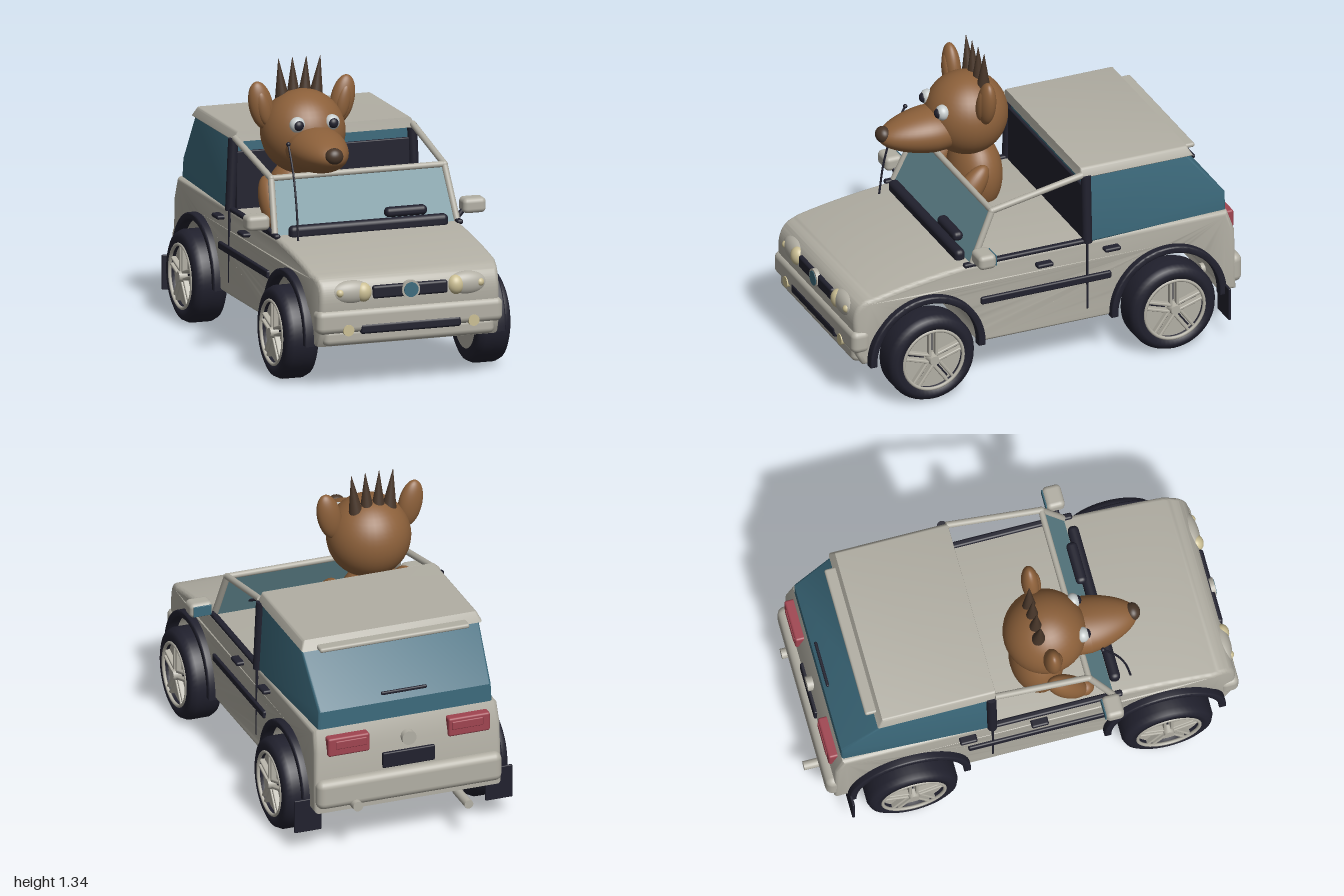
import * as THREE from 'three';
import { toCreasedNormals } from 'three/addons/utils/BufferGeometryUtils.js';
import { RoundedBoxGeometry } from 'three/addons/geometries/RoundedBoxGeometry.js';

export function createModel() {
  const model = new THREE.Group();
  const paint = (name, color, side = THREE.FrontSide) => {
    const m = new THREE.MeshStandardMaterial({ color, side });
    m.name = name;
    return m;
  };
  const grey = paint('bodyGrey', 0xb2afa4);
  const dark = paint('darkTrim', 0x21212e);
  const teal = paint('tealGlass', 0x3c6a7c);
  const screen = paint('windshieldGlass', 0x658c95, THREE.DoubleSide);
  const brown = paint('brownFur', 0x8c603a);
  const umber = paint('darkBrownHair', 0x483629);
  const red = paint('tailLightRed', 0xa04450);
  const cream = paint('lampCream', 0xcbbf94);
  const white = paint('eyeWhite', 0xc6cccc);

  const V = (x, y, z) => new THREE.Vector3(x, y, z);
  const add = (name, geo, mat, pos = [0, 0, 0], parent = model) => {
    const m = new THREE.Mesh(geo, mat);
    m.name = name;
    m.position.set(...pos);
    parent.add(m);
    return m;
  };
  const box = (name, mat, size, pos, r = 0.01, parent = model) =>
    add(name, new RoundedBoxGeometry(...size, 3, r), mat, pos, parent);
  const ball = (name, mat, pos, radii, parent = model) =>
    add(name, new THREE.SphereGeometry(1, 36, 24).scale(...radii), mat, pos, parent);
  const rod = (name, mat, a, b, r, r2 = r, parent = model) => {
    const d = b.clone().sub(a);
    const m = add(name, new THREE.CylinderGeometry(r2, r, d.length(), 20), mat,
      a.clone().add(b).multiplyScalar(0.5).toArray(), parent);
    m.quaternion.setFromUnitVectors(V(0, 1, 0), d.normalize());
    return m;
  };
  const disc = (name, mat, pos, r, depth) =>
    add(name, new THREE.CylinderGeometry(r, r, depth, 32).rotateX(Math.PI / 2), mat, pos);
  // Side profile (z, y) extruded across x, then reshaped by a rule giving the x scale
  const across = (shape, width, bevel, taper = () => 1) => {
    const geo = new THREE.ExtrudeGeometry(shape, {
      depth: width - 2 * bevel, bevelEnabled: bevel > 0, bevelSize: bevel, bevelThickness: bevel,
      bevelOffset: -bevel, bevelSegments: 4, curveSegments: 32,
    });
    geo.translate(0, 0, -(width / 2 - bevel)).rotateY(-Math.PI / 2);
    const p = geo.attributes.position;
    for (let i = 0; i < p.count; i++) p.setX(i, p.getX(i) * taper(p.getY(i), p.getZ(i)));
    return toCreasedNormals(geo, 0.6);
  };
  const clamp = THREE.MathUtils.clamp;
  const axles = [0.63, -0.556];

  // Body tub with full-width wheel arches
  const s = new THREE.Shape();
  s.moveTo(-0.9, 0.2);
  for (const z of [...axles].reverse()) {
    s.lineTo(z - 0.265, 0.2);
    s.absarc(z, 0.215, 0.265, Math.PI, 0, true);
    s.lineTo(z + 0.265, 0.2);
  }
  s.lineTo(0.93, 0.2);
  s.lineTo(0.96, 0.25);
  s.lineTo(0.972, 0.4);
  s.quadraticCurveTo(0.975, 0.505, 0.9, 0.525);
  s.quadraticCurveTo(0.7, 0.575, 0.42, 0.6);
  s.lineTo(-0.86, 0.6);
  s.lineTo(-0.895, 0.5);
  add('body', across(s, 0.9, 0.02, (y, z) =>
    1 - 0.08 * clamp(y - 0.4, 0, 1) - 0.05 * clamp((z - 0.86) / 0.11, 0, 1)), grey);

  // Rear cabin, roof and spoiler
  const cabin = new THREE.Shape([[-0.17, 0.59], [-0.17, 0.925], [-0.665, 0.925], [-0.86, 0.685], [-0.86, 0.59]]
    .map((p) => new THREE.Vector2(...p)));
  add('rearGlass', across(cabin, 0.89, 0.012, (y, z) =>
    1 - 0.12 * clamp(y - 0.6, 0, 1) - 0.06 * clamp((-z - 0.66) / 0.2, 0, 1)), teal);
  const roof = new THREE.Shape([[-0.14, 0.915], [-0.145, 0.962], [-0.67, 0.962], [-0.695, 0.915]]
    .map((p) => new THREE.Vector2(...p)));
  add('roof', across(roof, 0.87, 0.01, (y) => 1 - 1.0 * clamp(y - 0.92, 0, 1)), grey);
  box('spoiler', grey, [0.72, 0.022, 0.07], [0, 0.925, -0.7]);
  box('bulkhead', dark, [0.83, 0.27, 0.02], [0, 0.73, -0.168], 0.005);
  box('rearWiper', dark, [0.22, 0.016, 0.014], [0, 0.72, -0.842], 0.006);

  // Windshield and its frame
  const glass = new THREE.BufferGeometry();
  glass.setAttribute('position', new THREE.Float32BufferAttribute(
    [-0.43, 0.6, 0.4, 0.43, 0.6, 0.4, 0.405, 0.84, 0.29, -0.405, 0.84, 0.29], 3));
  glass.setIndex([0, 1, 2, 0, 2, 3]);
  glass.computeVertexNormals();
  add('windshield', glass, screen);
  rod('windshieldTopBar', grey, V(-0.415, 0.84, 0.29), V(0.415, 0.84, 0.29), 0.014);
  box('cowl', dark, [0.76, 0.062, 0.05], [0, 0.615, 0.425], 0.022);
  box('cowlPad', dark, [0.2, 0.045, 0.05], [0.19, 0.665, 0.395], 0.02);

  for (const k of [-1, 1]) {
    rod('windshieldPost', grey, V(k * 0.437, 0.595, 0.4), V(k * 0.415, 0.84, 0.29), 0.015);
    rod('roofRail', grey, V(k * 0.415, 0.84, 0.29), V(k * 0.425, 0.93, -0.15), 0.015);
    ball('frameCorner', grey, [k * 0.415, 0.84, 0.29], [0.016, 0.016, 0.016]);
    rod('doorPillar', dark, V(k * 0.443, 0.595, -0.167), V(k * 0.428, 0.925, -0.167), 0.023);
    box('doorSill', dark, [0.03, 0.022, 0.6], [k * 0.438, 0.602, 0.14], 0.01);
    box('doorGap', dark, [0.012, 0.34, 0.01], [k * 0.447, 0.43, -0.165], 0.004);
    box('rubStrip', dark, [0.03, 0.036, 0.64], [k * 0.447, 0.413, 0.04], 0.008);
    box('doorHandle', dark, [0.05, 0.02, 0.08], [k * 0.452, 0.535, 0.05], 0.009);
    box('rearHandle', dark, [0.05, 0.02, 0.08], [k * 0.452, 0.545, -0.282], 0.009);
    // Mirrors
    box('mirror', grey, [0.11, 0.07, 0.085], [k * 0.518, 0.665, 0.375], 0.022);
    rod('mirrorArm', dark, V(k * 0.435, 0.6, 0.375), V(k * 0.48, 0.65, 0.375), 0.012);
    box('mirrorGlass', teal, [0.085, 0.05, 0.006], [k * 0.518, 0.665, 0.332], 0.002);
    // Lamps
    ball('headlightPod', grey, [k * 0.275, 0.445, 0.945], [0.105, 0.056, 0.042]);
    ball('headlight', cream, [k * 0.222, 0.445, 0.958], [0.04, 0.045, 0.036]);
    ball('sideLamp', cream, [k * 0.335, 0.45, 0.965], [0.02, 0.02, 0.022]);
    disc('fogLamp', cream, [k * 0.3, 0.28, 0.98], 0.026, 0.02);
    box('tailLight', red, [0.2, 0.09, 0.05], [k * 0.29, 0.525, -0.888], 0.01);
    box('tailLightDivider', red, [0.15, 0.04, 0.012], [k * 0.28, 0.535, -0.912], 0.005);
    box('mudFlap', dark, [0.13, 0.16, 0.012], [k * 0.46, 0.17, -0.833], 0.004);

    for (const z of axles) {
      // Arch flare
      const f = new THREE.Shape();
      f.moveTo(z + 0.283, 0.2);
      f.lineTo(z + 0.283, 0.215);
      f.absarc(z, 0.215, 0.283, 0, Math.PI, false);
      f.lineTo(z - 0.283, 0.2);
      f.lineTo(z - 0.25, 0.2);
      f.absarc(z, 0.215, 0.25, Math.PI, 0, true);
      f.lineTo(z + 0.25, 0.2);
      add('wheelArch', across(f, 0.05, 0.008), dark, [k * 0.457, 0, 0]);

      // Wheel
      const w = new THREE.Group();
      w.name = 'wheel';
      w.position.set(k * 0.46, 0.213, z);
      w.rotation.y = k > 0 ? 0 : Math.PI;
      model.add(w);
      const tread = [[0.14, -0.076], [0.18, -0.08], [0.2, -0.07], [0.212, -0.045], [0.212, 0.045],
        [0.2, 0.07], [0.18, 0.08], [0.15, 0.078], [0.142, 0.05]].map((p) => new THREE.Vector2(...p));
      add('tyre', new THREE.LatheGeometry(tread, 48).rotateZ(-Math.PI / 2), dark, [0, 0, 0], w);
      add('rimDisc', new THREE.CylinderGeometry(0.145, 0.145, 0.13, 40).rotateZ(Math.PI / 2), grey, [-0.012, 0, 0], w);
      add('rimLip', new THREE.TorusGeometry(0.145, 0.008, 10, 48).rotateY(Math.PI / 2), grey, [0.076, 0, 0], w);
      for (let i = 0; i < 5; i++) {
        const spoke = new THREE.Group();
        spoke.name = 'spokePair';
        spoke.rotation.x = (i * Math.PI * 2) / 5;
        w.add(spoke);
        for (const o of [-0.016, 0.016]) box('spoke', grey, [0.03, 0.125, 0.014], [0.062, 0.08, o], 0.005, spoke);
        box('spokeGap', dark, [0.006, 0.09, 0.008], [0.054, 0.085, 0], 0.002, spoke);
      }
      add('hub', new THREE.CylinderGeometry(0.022, 0.03, 0.04, 20).rotateZ(-Math.PI / 2), grey, [0.07, 0, 0], w);
    }
  }

  // Nose
  box('frontBumper', grey, [0.89, 0.11, 0.09], [0, 0.318, 0.94], 0.03);
  box('frontApron', grey, [0.82, 0.08, 0.06], [0, 0.245, 0.94], 0.028);
  box('lowerGrille', dark, [0.48, 0.046, 0.03], [0, 0.28, 0.974], 0.012);
  box('grille', dark, [0.36, 0.06, 0.03], [0, 0.443, 0.964], 0.012);
  disc('badgeRing', grey, [0, 0.445, 0.975], 0.043, 0.02);
  disc('badgeFace', teal, [0, 0.445, 0.984], 0.034, 0.008);

  // Tail
  box('rearBumper', grey, [0.89, 0.14, 0.075], [0, 0.295, -0.898], 0.034);
  disc('rearBadge', grey, [0, 0.51, -0.898], 0.034, 0.03);
  box('rearPlate', dark, [0.25, 0.075, 0.02], [0, 0.415, -0.9], 0.006);
  rod('exhaust', grey, V(-0.255, 0.17, -0.84), V(-0.255, 0.17, -0.995), 0.021);
  rod('exhaust', grey, V(0.265, 0.235, -0.8), V(0.265, 0.235, -0.96), 0.024);

  // Antenna
  const whip = new THREE.CatmullRomCurve3([V(-0.362, 0.58, 0.5), V(-0.362, 0.75, 0.475), V(-0.362, 0.9, 0.43), V(-0.362, 1.01, 0.37)]);
  add('antenna', new THREE.TubeGeometry(whip, 20, 0.005, 8), dark);
  ball('antennaTip', dark, [-0.362, 1.01, 0.37], [0.01, 0.01, 0.01]);

  // Driver, built around its own centre line
  const driver = new THREE.Group();
  driver.name = 'driver';
  driver.position.x = -0.208;
  model.add(driver);
  ball('torso', brown, [0, 0.7, 0.1], [0.16, 0.19, 0.122], driver);
  ball('head', brown, [0, 1.01, 0.14], [0.193, 0.193, 0.19], driver);
  const snout = new THREE.SphereGeometry(1, 40, 28);
  const sp = snout.attributes.position;
  for (let i = 0; i < sp.count; i++) {
    const t = 1 - 0.18 * clamp(sp.getZ(i), 0, 1);
    sp.setXYZ(i, sp.getX(i) * 0.135 * t, sp.getY(i) * 0.102 * t, sp.getZ(i) * 0.24);
  }
  snout.computeVertexNormals();
  add('snout', snout, brown, [0, 0.963, 0.33], driver);
  ball('nose', umber, [0, 0.98, 0.548], [0.042, 0.038, 0.035], driver);
  for (const k of [-1, 1]) {
    ball('eye', white, [k * 0.083, 1.077, 0.293], [0.036, 0.036, 0.032], driver);
    ball('pupil', dark, [k * 0.083, 1.077, 0.312], [0.024, 0.024, 0.02], driver);
    const ear = ball('ear', brown, [k * 0.195, 1.14, 0.125], [0.056, 0.113, 0.04], driver);
    const inner = ball('innerEar', brown, [k * 0.19, 1.13, 0.15], [0.032, 0.08, 0.022], driver);
    ear.rotation.z = inner.rotation.z = -k * 0.22;
    const arm = ball('arm', brown, [k * 0.175, 0.705, 0.2], [0.052, 0.135, 0.058], driver);
    arm.rotation.x = -0.65 + Math.PI;
    ball('hand', brown, [k * 0.165, 0.63, 0.28], [0.045, 0.04, 0.045], driver);
  }
  for (let i = -1.5; i <= 1.5; i++) {
    const top = 1.345 - 0.003 * Math.abs(i);
    rod('hairSpike', umber, V(i * 0.053, 1.15, 0.09), V(i * 0.067, top, 0.095), 0.034, 0.001, driver);
  }
  return model;
}
